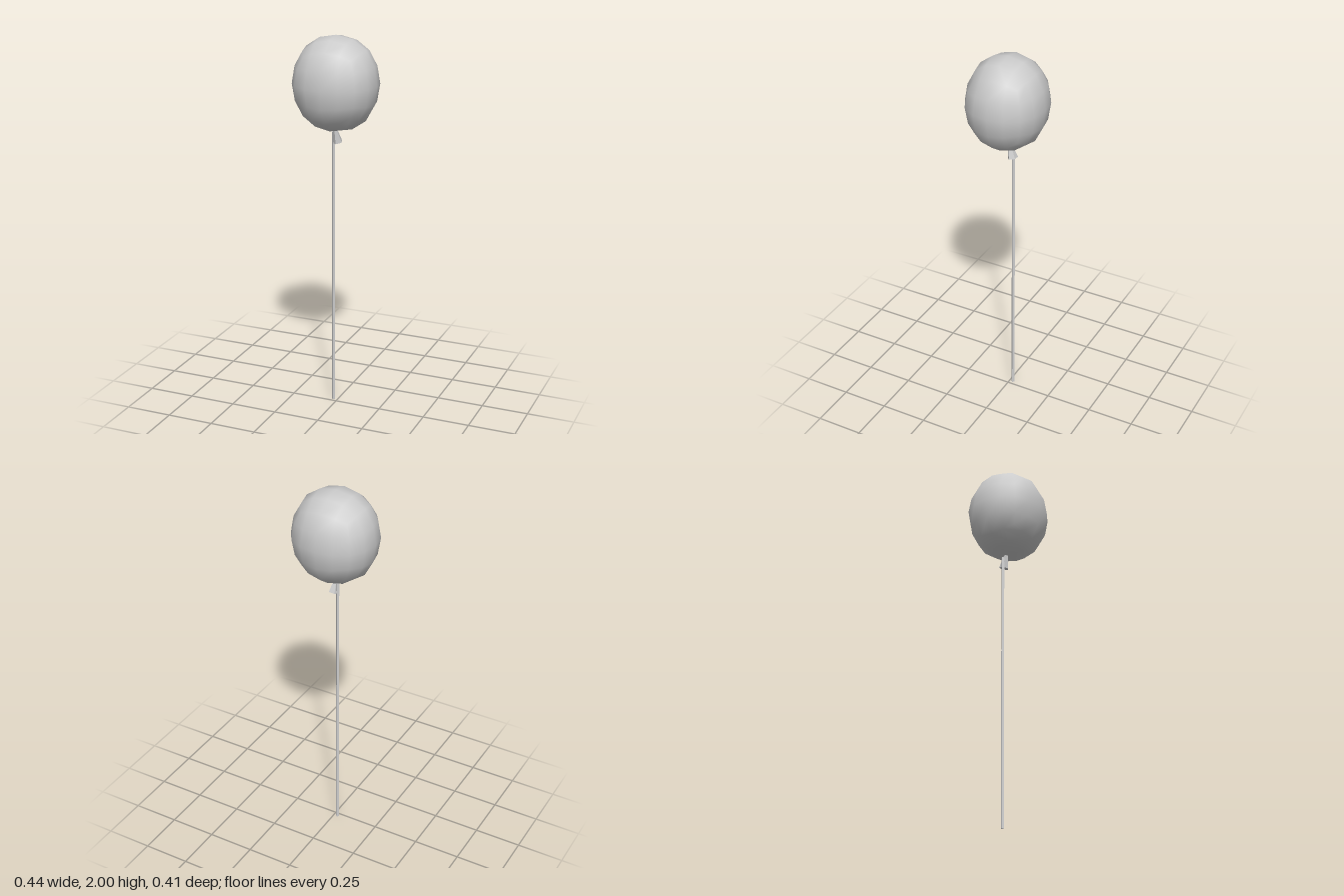
import * as THREE from 'three';
import { mergeVertices } from 'three/addons/utils/BufferGeometryUtils.js';

const grey = (opts = {}) => new THREE.MeshStandardMaterial({ color: 0xcccccc, ...opts });

// Rounded cube: each 4 x 4 box point is drawn in to a twice-subdivided cube.
// The key is the sum of squares of the point's other two coordinates.
const OUTER = { 0: 1, 0.25: 0.933, 0.5: 0.87, 1: 0.732, 1.25: 0.682, 2: 0.58 };
const HALF = { 1: 0.399, 1.25: 0.3715, 2: 0.344 };

function roundedCube() {
  let geo = new THREE.BoxGeometry(2, 2, 2, 4, 4, 4);
  geo.deleteAttribute('normal');
  geo.deleteAttribute('uv');
  geo = mergeVertices(geo);
  const p = geo.attributes.position;
  const pull = (c, a, b) => {
    const key = a * a + b * b;
    if (c === 0) return 0;
    return Math.sign(c) * (Math.abs(c) === 1 ? OUTER[key] : HALF[key]);
  };
  for (let i = 0; i < p.count; i++) {
    const x = p.getX(i), y = p.getY(i), z = p.getZ(i);
    p.setXYZ(i, pull(x, y, z), pull(y, x, z), pull(z, x, y));
  }
  return geo;
}

export function createModel() {
  const group = new THREE.Group();
  const add = (name, geo, mat) => {
    const mesh = new THREE.Mesh(geo, mat);
    mesh.name = name;
    group.add(mesh);
    return mesh;
  };

  // Inflated body
  const body = roundedCube().scale(0.221, 0.245, 0.206).translate(0, 1.755, 0);
  body.computeVertexNormals();
  add('balloon', body, grey());

  // Flared neck, leaning from the underside of the body
  const top = new THREE.Vector3(-0.008, 1.52, -0.006);
  const bottom = new THREE.Vector3(-0.002, 1.446, -0.026);
  const axis = top.clone().sub(bottom);
  const neck = add('neck', new THREE.CylinderGeometry(0.01, 0.027, axis.length(), 5),
    grey({ flatShading: true }));
  neck.position.copy(top).add(bottom).multiplyScalar(0.5);
  neck.quaternion.setFromUnitVectors(new THREE.Vector3(0, 1, 0), axis.normalize());

  // Straight four-sided string
  const string = add('string', new THREE.CylinderGeometry(0.009, 0.009, 1.5, 4),
    grey({ flatShading: true }));
  string.position.set(-0.022, 0.75, -0.02);

  return group;
}
